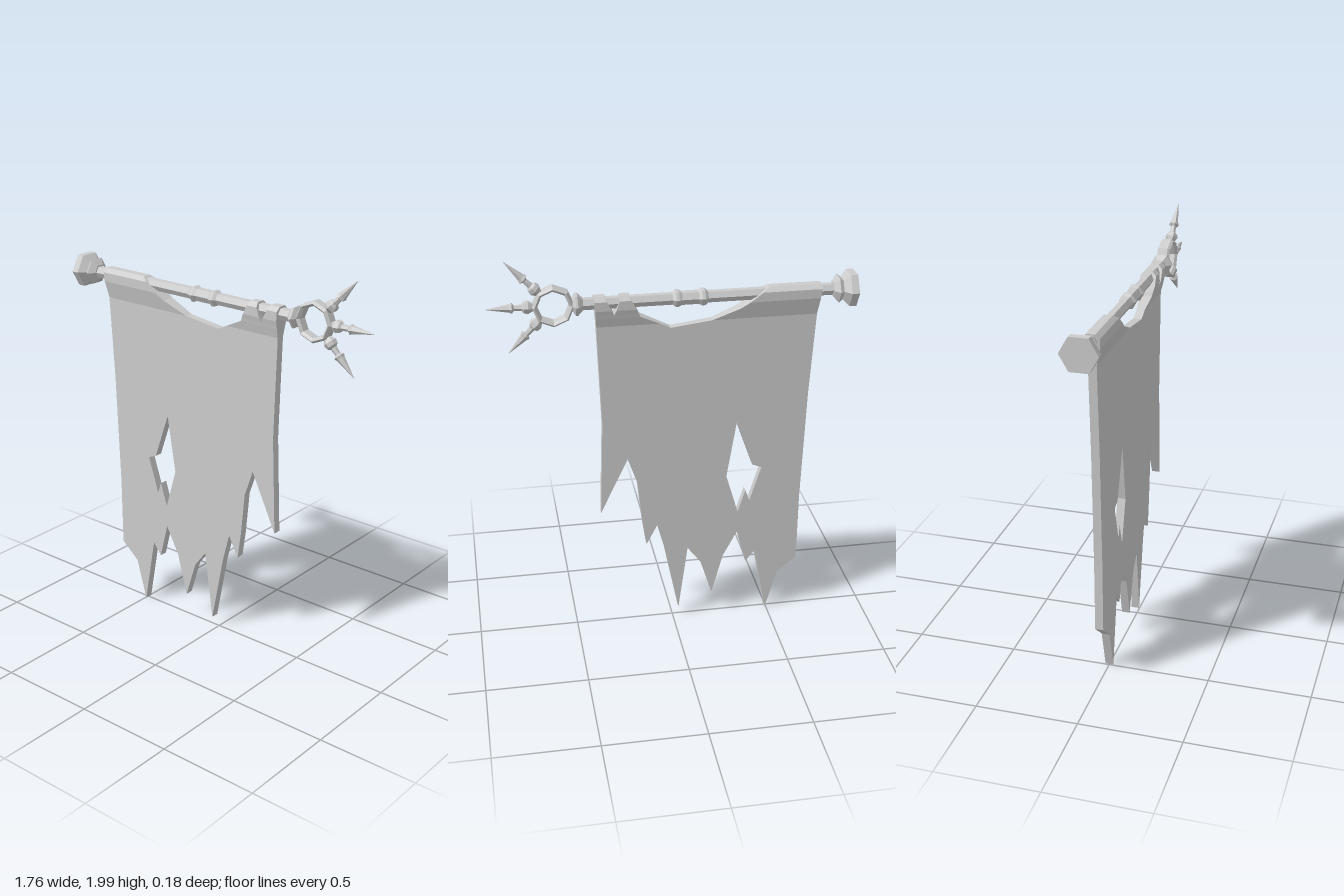
import * as THREE from 'three';

const POLE_Y = 1.77;
const CLOTH_HALF = 0.02;
const material = new THREE.MeshStandardMaterial({ color: 0xcccccc, flatShading: true });

function addMesh(parent, name, geometry) {
  const mesh = new THREE.Mesh(geometry, material);
  mesh.name = name;
  parent.add(mesh);
  return mesh;
}

const toPoints = (list) => list.map(([x, y]) => new THREE.Vector2(x, y));

// Six-sided turned piece; profile is [position along axis, radius], axis swung to an angle in the xy plane
function turned(profile, angle = 0) {
  const points = profile.map(([along, radius]) => new THREE.Vector2(radius, along));
  return new THREE.LatheGeometry(points, 6).rotateZ(angle - Math.PI / 2);
}

// Closed strip of cloth lofted through rows of [y, left x, right x, half depth]
function foldedCloth(rows) {
  const positions = [];
  const index = [];
  for (const [y, left, right, d] of rows) {
    positions.push(left, y, d, right, y, d, right, y, -d, left, y, -d);
  }
  for (let r = 0; r < rows.length - 1; r++) {
    for (let i = 0; i < 4; i++) {
      const a = r * 4 + i;
      const b = r * 4 + (i + 1) % 4;
      index.push(a, b, b + 4, a, b + 4, a + 4);
    }
  }
  const t = (rows.length - 1) * 4;
  index.push(0, 2, 1, 0, 3, 2, t, t + 1, t + 2, t, t + 2, t + 3);
  const geometry = new THREE.BufferGeometry();
  geometry.setAttribute('position', new THREE.Float32BufferAttribute(positions, 3));
  geometry.setIndex(index);
  geometry.computeVertexNormals();
  return geometry;
}

function createBanner() {
  const banner = new THREE.Group();
  banner.name = 'banner';

  // Torn sheet with a ragged lower edge and a hole
  const sheet = new THREE.Shape(toPoints([
    [-0.70, 1.655], [-0.675, 1.235], [-0.655, 0.655], [-0.653, 0.30], [-0.553, 0.215],
    [-0.495, 0.005], [-0.43, 0.36], [-0.383, 0.30], [-0.335, 0.485], [-0.262, 0.345],
    [-0.205, 0.13], [-0.145, 0.32], [-0.077, 0.41], [-0.03, 0.055], [0.04, 0.41],
    [0.08, 0.56], [0.135, 0.455], [0.155, 0.59], [0.177, 0.81], [0.225, 0.95],
    [0.363, 0.66], [0.345, 1.15], [0.362, 1.655], [0.06, 1.655], [0.01, 1.63], [-0.19, 1.655],
  ]));
  sheet.holes.push(new THREE.Path(toPoints([
    [-0.32, 1.105], [-0.273, 0.81], [-0.335, 0.60], [-0.373, 0.72],
    [-0.394, 0.66], [-0.452, 0.845], [-0.405, 0.865],
  ])));
  const sheetGeometry = new THREE.ExtrudeGeometry(sheet, { depth: CLOTH_HALF * 2, bevelEnabled: false });
  addMesh(banner, 'tornSheet', sheetGeometry.translate(0, 0, -CLOTH_HALF));

  // Loops of cloth that thicken around the pole
  addMesh(banner, 'wideLoop', foldedCloth([
    [1.655, -0.70, -0.19, 0.02], [1.71, -0.706, -0.325, 0.033], [1.74, -0.71, -0.37, 0.04],
    [1.785, -0.715, -0.43, 0.04], [1.805, -0.717, -0.46, 0.02],
  ]));
  addMesh(banner, 'loopBase', foldedCloth([
    [1.655, 0.06, 0.362, 0.02], [1.70, 0.155, 0.364, 0.031], [1.715, 0.161, 0.365, 0.034],
  ]));
  addMesh(banner, 'innerLoop', foldedCloth([
    [1.715, 0.161, 0.278, 0.034], [1.74, 0.173, 0.267, 0.04],
    [1.785, 0.196, 0.252, 0.04], [1.805, 0.205, 0.245, 0.02],
  ]));
  addMesh(banner, 'outerLoop', foldedCloth([
    [1.715, 0.278, 0.365, 0.034], [1.74, 0.289, 0.366, 0.04],
    [1.785, 0.311, 0.369, 0.04], [1.805, 0.32, 0.37, 0.02],
  ]));
  return banner;
}

function createPole() {
  const pole = new THREE.Group();
  pole.name = 'pole';
  pole.position.y = POLE_Y;

  // Shaft with a pair of grip rings
  addMesh(pole, 'shaft', turned([
    [-0.79, 0], [-0.79, 0.03], [-0.17, 0.03], [-0.155, 0.042], [-0.14, 0.042], [-0.125, 0.034],
    [-0.045, 0.034], [-0.03, 0.042], [-0.015, 0.042], [0, 0.03], [0.44, 0.03], [0.44, 0],
  ]));
  addMesh(pole, 'endCap', turned([
    [-0.885, 0], [-0.885, 0.09], [-0.85, 0.09], [-0.82, 0.055],
    [-0.80, 0.07], [-0.775, 0.038], [-0.775, 0],
  ]));
  addMesh(pole, 'collar', turned([
    [0.42, 0], [0.42, 0.03], [0.445, 0.055], [0.455, 0.055], [0.47, 0.03], [0.47, 0],
  ]));

  // Eight-sided ring with three spikes fanned around it
  const finial = new THREE.Group();
  finial.name = 'finial';
  finial.position.x = 0.558;
  pole.add(finial);
  const ringProfile = toPoints([
    [0.075, -0.02], [0.088, -0.032], [0.099, -0.02], [0.099, 0.02],
    [0.088, 0.032], [0.075, 0.02], [0.075, -0.02],
  ]);
  addMesh(finial, 'ring', new THREE.LatheGeometry(ringProfile, 8).rotateX(Math.PI / 2));
  const spikeProfile = [
    [0.085, 0.016], [0.098, 0.022], [0.115, 0.032], [0.135, 0.028], [0.145, 0.016],
    [0.18, 0.013], [0.19, 0.026], [0.203, 0.02], [0.316, 0],
  ];
  for (const [name, degrees] of [['upperSpike', 46], ['middleSpike', 0], ['lowerSpike', -46]]) {
    addMesh(finial, name, turned(spikeProfile, THREE.MathUtils.degToRad(degrees)));
  }
  return pole;
}

export function createModel() {
  const model = new THREE.Group();
  model.name = 'tornBanner';
  model.add(createBanner(), createPole());
  return model;
}
